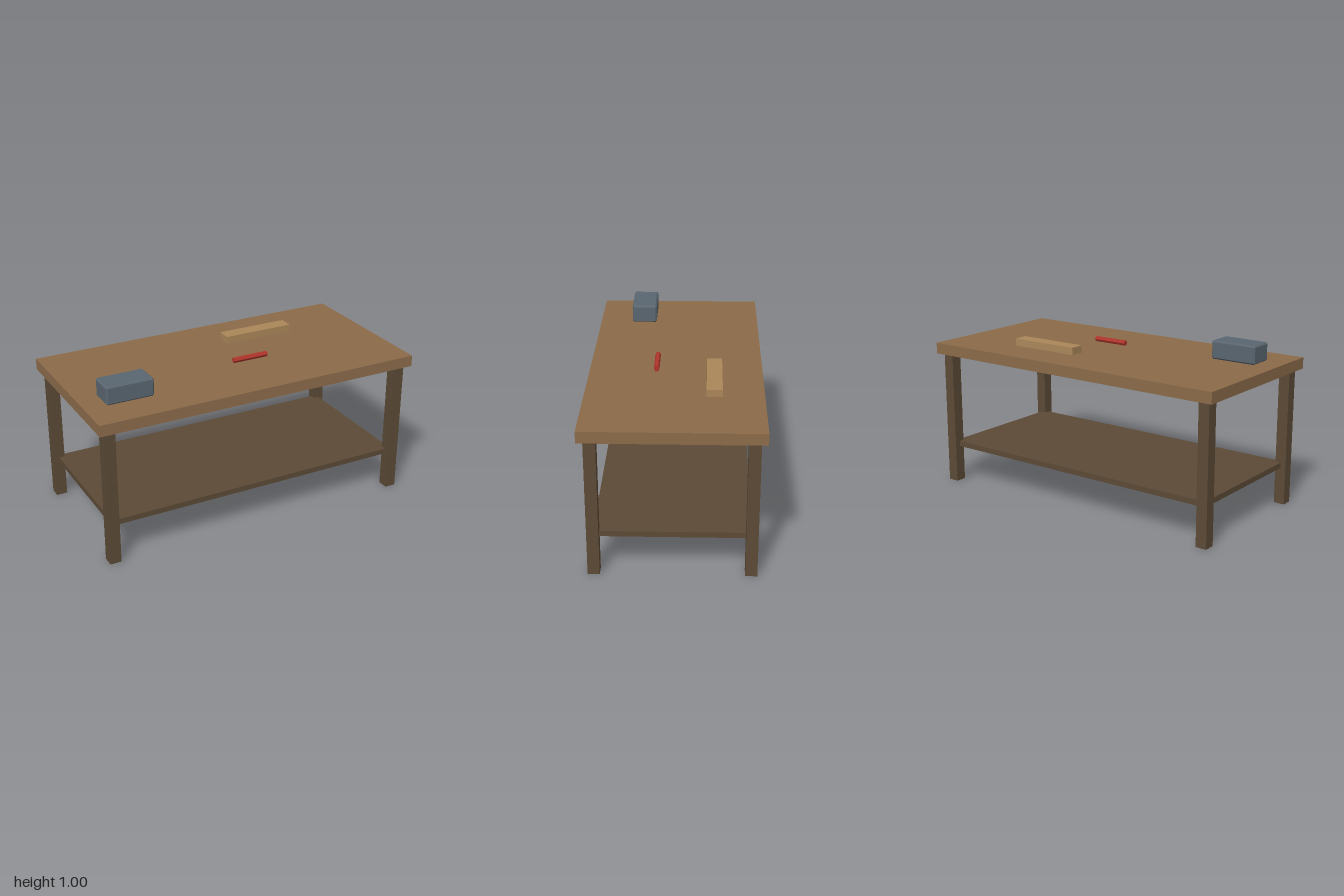
import * as THREE from 'three';
import { ConvexGeometry } from 'three/addons/geometries/ConvexGeometry.js';

const material = (name, color) => {
  const m = new THREE.MeshStandardMaterial({ color });
  m.name = name;
  return m;
};

// Box with a single flat chamfer along every edge
function chamferedBox(w, h, d, c) {
  const points = [];
  for (const x of [-1, 1]) for (const y of [-1, 1]) for (const z of [-1, 1]) {
    for (let axis = 0; axis < 3; axis++) {
      const p = [w / 2 - c, h / 2 - c, d / 2 - c];
      p[axis] += c;
      points.push(new THREE.Vector3(p[0] * x, p[1] * y, p[2] * z));
    }
  }
  return new ConvexGeometry(points);
}

export function createModel() {
  const model = new THREE.Group();
  model.name = 'workbench';

  const topWood = material('topWood', 0x8b6b4a);
  const darkWood = material('darkWood', 0x5c4a36);
  const paleWood = material('paleWood', 0xab875a);
  const steel = material('steelBlue', 0x5a6670);
  const red = material('handleRed', 0xb0352c);

  const add = (name, geometry, mat, x, y, z) => {
    const mesh = new THREE.Mesh(geometry, mat);
    mesh.name = name;
    mesh.position.set(x, y, z);
    model.add(mesh);
    return mesh;
  };

  // Table: top, lower shelf let into the legs, four legs
  add('tableTop', new THREE.BoxGeometry(2, 0.067, 1), topWood, 0, 0.8565, 0);
  add('lowerShelf', new THREE.BoxGeometry(1.867, 0.033, 0.867), darkWood, 0, 0.24, 0);
  const leg = new THREE.BoxGeometry(0.067, 0.823, 0.067);
  for (const x of [-1, 1]) for (const z of [-1, 1]) {
    add(`${z > 0 ? 'front' : 'back'}${x > 0 ? 'Left' : 'Right'}Leg`, leg, darkWood,
      x * 0.9335, 0.4115, z * 0.4335);
  }

  // Items lying on the table
  add('toolBox', chamferedBox(0.284, 0.11, 0.154, 0.009), steel, -0.733, 0.945, 0.222);
  add('woodBlock', new THREE.BoxGeometry(0.443, 0.044, 0.089), paleWood, 0.332, 0.912, -0.222);

  // Hexagonal handle, lying along x
  const hex = new THREE.CylinderGeometry(0.0165, 0.0165, 0.222, 6).toNonIndexed();
  hex.computeVertexNormals();
  add('hexHandle', hex, red, 0.111, 0.912, 0.111).rotation.z = Math.PI / 2;

  return model;
}
